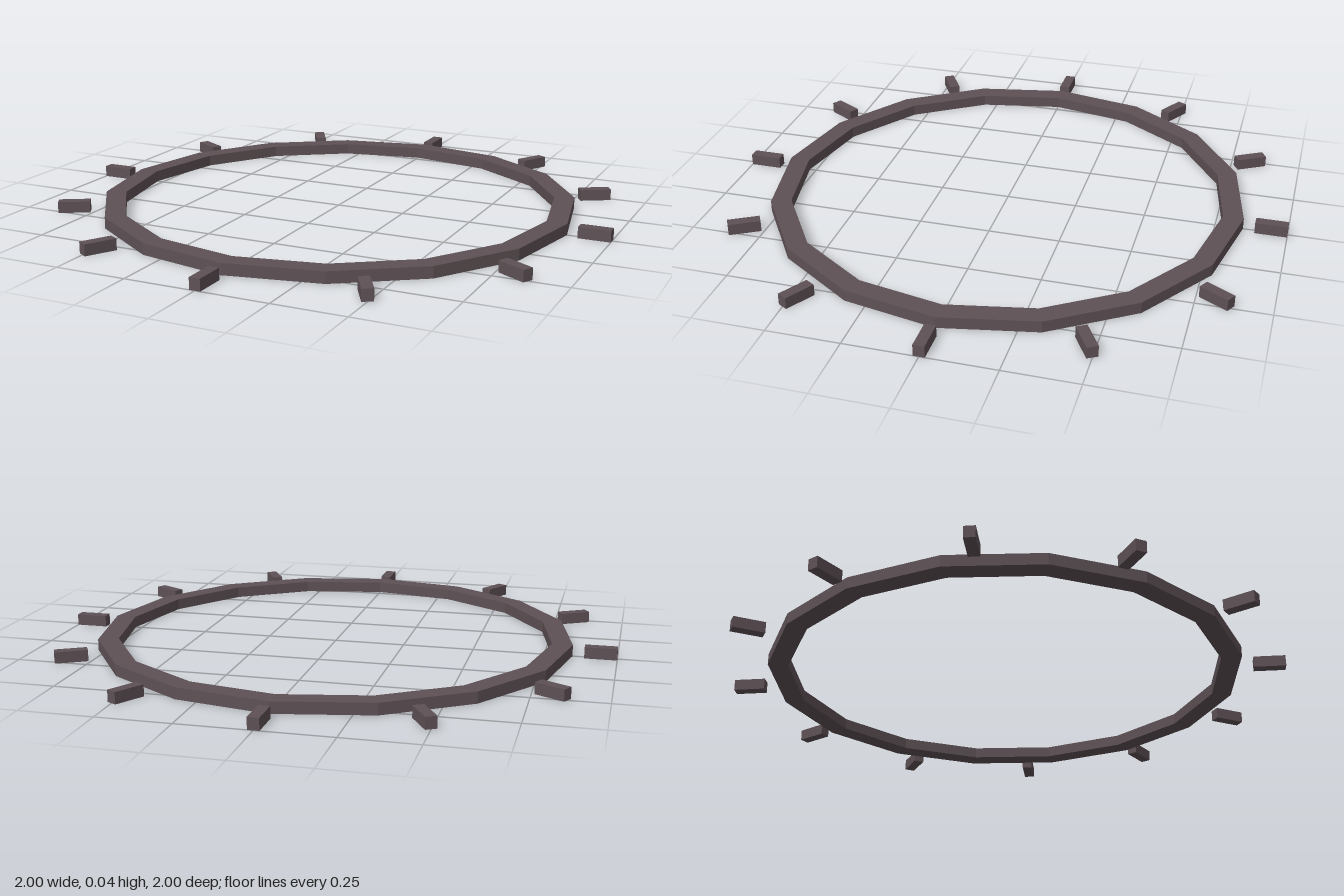
import * as THREE from 'three';

const HEIGHT = 0.04;

// Corner points of a regular polygon with a corner on +x
function polygon(radius, sides) {
  return Array.from({ length: sides }, (_, i) => {
    const a = (i / sides) * Math.PI * 2;
    return new THREE.Vector2(Math.cos(a) * radius, Math.sin(a) * radius);
  });
}

export function createModel() {
  const model = new THREE.Group();
  model.name = 'dialRing';
  const material = new THREE.MeshStandardMaterial({ color: 0x5e5155, flatShading: true });

  // Flat sixteen-sided ring
  const shape = new THREE.Shape(polygon(0.847, 16));
  shape.holes.push(new THREE.Path(polygon(0.775, 16).reverse()));
  const ringGeometry = new THREE.ExtrudeGeometry(shape, { depth: HEIGHT, bevelEnabled: false });
  ringGeometry.rotateX(-Math.PI / 2);
  const ring = new THREE.Mesh(ringGeometry, material);
  ring.name = 'ring';
  model.add(ring);

  // Twelve radial hour markers around the ring
  const markers = new THREE.Group();
  markers.name = 'hourMarkers';
  const markerGeometry = new THREE.BoxGeometry(0.112, HEIGHT, 0.038);
  markerGeometry.translate(0.944, HEIGHT / 2, 0);
  for (let i = 0; i < 12; i++) {
    const marker = new THREE.Mesh(markerGeometry, material);
    marker.name = `hourMarker${i + 1}`;
    marker.rotation.y = (i / 12) * Math.PI * 2;
    markers.add(marker);
  }
  model.add(markers);

  return model;
}
